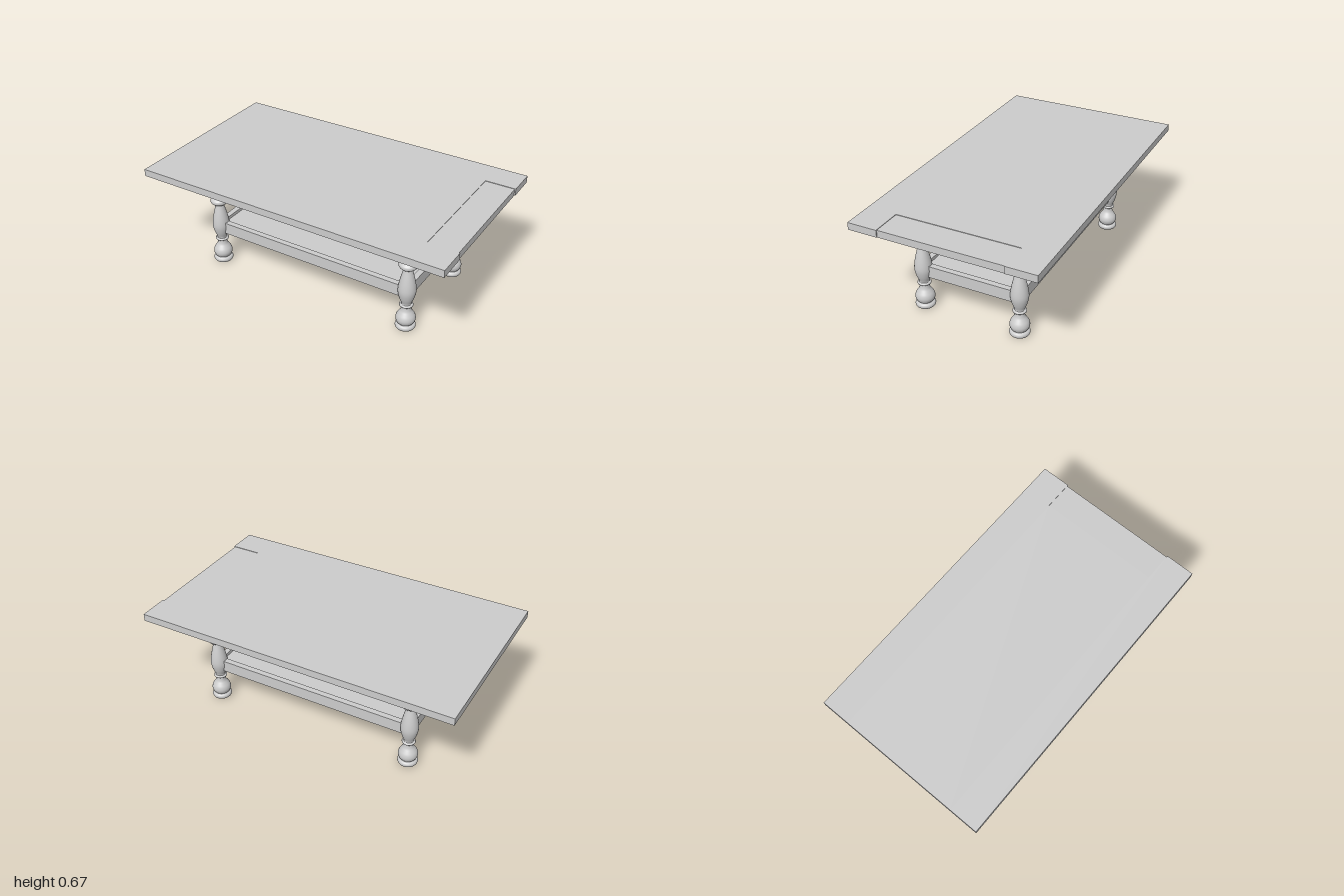
import * as THREE from 'three';

export function createModel() {
  const table = new THREE.Group();
  table.name = 'table';
  const material = new THREE.MeshStandardMaterial({ color: 0xcccccc });

  // Box given by its extents on each axis
  function board(name, [x0, x1], [y0, y1], [z0, z1]) {
    const mesh = new THREE.Mesh(new THREE.BoxGeometry(x1 - x0, y1 - y0, z1 - z0), material);
    mesh.position.set((x0 + x1) / 2, (y0 + y1) / 2, (z0 + z1) / 2);
    mesh.name = name;
    table.add(mesh);
  }

  // Table top: two long side boards, a centre board and a slightly lower end board
  const topY = [0.623, 0.668];
  board('frontTopBoard', [-1, 1], topY, [0.385, 0.57]);
  board('backTopBoard', [-1, 1], topY, [-0.57, -0.385]);
  board('centreTopBoard', [-1, 0.81], topY, [-0.385, 0.385]);
  board('endTopBoard', [0.81, 0.993], [0.62, 0.665], [-0.385, 0.385]);

  // Turned leg profile: radius, height
  const profile = [
    [0.05, 0], [0.057, 0.006], [0.061, 0.018], [0.056, 0.03], [0.045, 0.036], [0.052, 0.044],
    [0.059, 0.065], [0.055, 0.088], [0.043, 0.108], [0.032, 0.126], [0.028, 0.152],
    [0.039, 0.157], [0.041, 0.163], [0.038, 0.169], [0.029, 0.174],
    [0.043, 0.21], [0.053, 0.255], [0.05, 0.30], [0.04, 0.35], [0.03, 0.39], [0.027, 0.412],
    [0.042, 0.417], [0.053, 0.428], [0.055, 0.437], [0.052, 0.448], [0.038, 0.46], [0.029, 0.474],
    [0.027, 0.51], [0.037, 0.514], [0.044, 0.524], [0.045, 0.537],
  ].map(([r, y]) => new THREE.Vector2(r, y));
  const curve = new THREE.SplineCurve(profile).getPoints(100);
  const legGeometry = new THREE.LatheGeometry([new THREE.Vector2(0, 0), ...curve], 36);
  const blockGeometry = new THREE.BoxGeometry(0.12, 0.088, 0.12);

  const legX = [-0.645, 0.677], legZ = [-0.304, 0.32];
  for (const x of legX) for (const z of legZ) {
    const leg = new THREE.Group();
    leg.name = `${z > 0 ? 'front' : 'back'}${x > 0 ? 'Left' : 'Right'}Leg`;
    const post = new THREE.Mesh(legGeometry, material);
    post.name = 'turnedPost';
    const block = new THREE.Mesh(blockGeometry, material);
    block.name = 'topBlock';
    block.position.y = 0.579;
    leg.add(post, block);
    leg.position.set(x, 0, z);
    table.add(leg);
  }

  // Aprons under the top and stretcher rails low down, centred on the legs
  const t = 0.018;
  for (const [name, y] of [['Apron', [0.55, 0.623]], ['Stretcher', [0.215, 0.29]]]) {
    for (const z of legZ) board((z > 0 ? 'front' : 'back') + name, legX, y, [z - t, z + t]);
    for (const x of legX) board((x > 0 ? 'left' : 'right') + name, [x - t, x + t], y, legZ);
  }

  // Shelf held inside the stretchers
  board('shelf', legX, [0.235, 0.27], legZ);

  return table;
}
